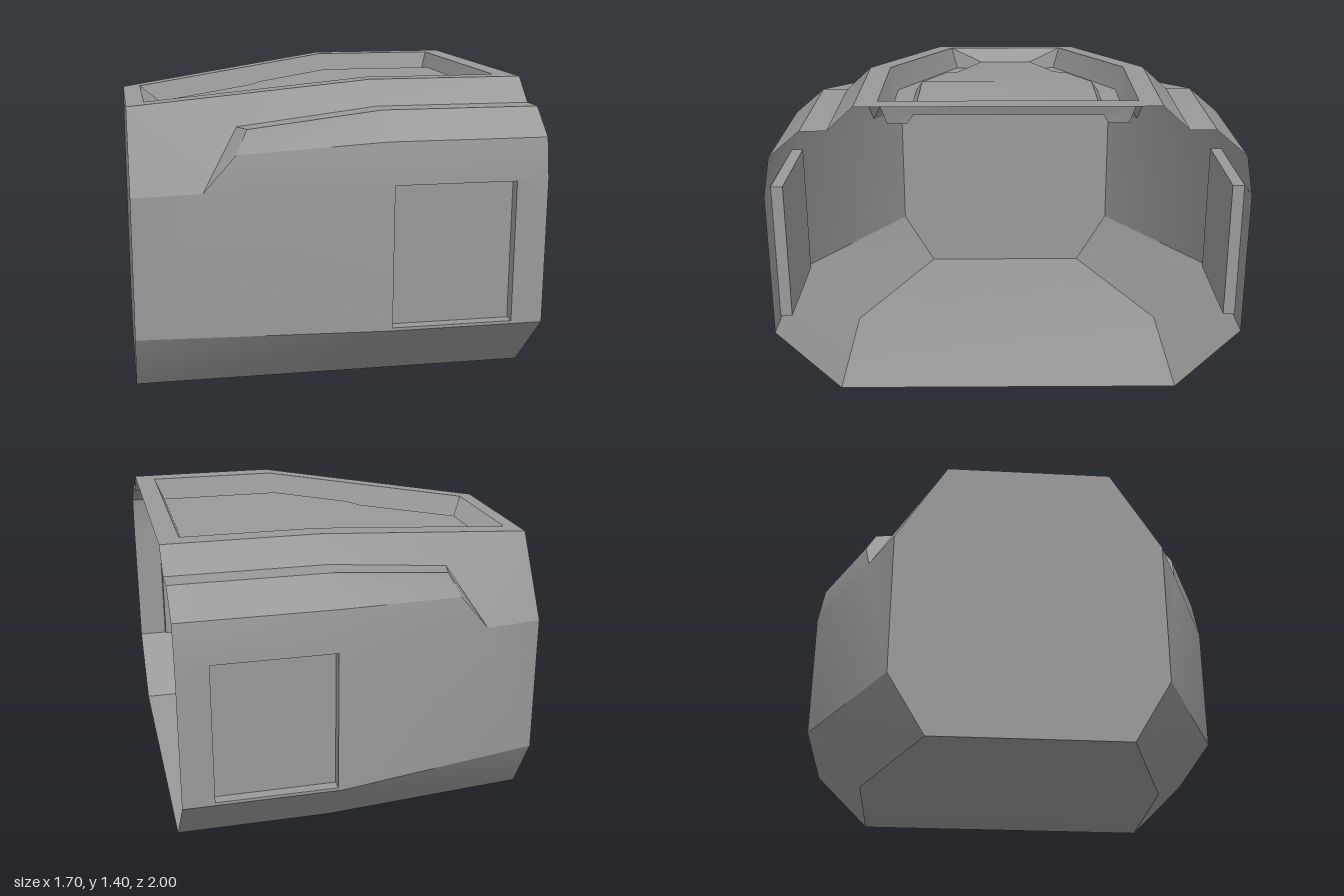
import * as THREE from 'three';
import { toCreasedNormals } from 'three/addons/utils/BufferGeometryUtils.js';

const material = new THREE.MeshStandardMaterial({ color: 0x9a9a9a, side: THREE.DoubleSide });
const mirror = (pts) => pts.map(([x, y, z]) => [x, y, -z]);

// Height of the roof at x; an offset gives the recessed levels that follow it
const roofY = (x, drop = 0) => 1.4 - Math.max(0, 0.18 - x) * 0.126 - drop;
const onRoof = (pts, drop = 0) => pts.map(([x, z]) => [x, roofY(x, drop), z]);

// Skin between two rails running towards +x, with b to the left of a
function strip(a, b) {
  const tris = [];
  for (let i = 0; i < a.length - 1; i++) {
    tris.push(a[i], a[i + 1], b[i + 1], a[i], b[i + 1], b[i]);
  }
  return tris;
}

// Convex polygon as a fan, counter-clockwise from outside
function poly(...pts) {
  const tris = [];
  for (let i = 1; i < pts.length - 1; i++) tris.push(pts[0], pts[i], pts[i + 1]);
  return tris;
}

// The same triangles on the other side, with the winding kept outward
function mirrored(tris) {
  const out = [];
  const m = mirror(tris);
  for (let i = 0; i < m.length; i += 3) out.push(m[i], m[i + 2], m[i + 1]);
  return out;
}

function mesh(name, tris) {
  const geo = new THREE.BufferGeometry();
  geo.setAttribute('position', new THREE.Float32BufferAttribute(tris.flat(), 3));
  const result = new THREE.Mesh(toCreasedNormals(geo, 0.45), material);
  result.name = name;
  return result;
}

const rect = (x0, x1, y0, y1, z) =>
  [[x0, y0, z], [x1, y0, z], [x1, y1, z], [x0, y1, z], [x0, y0, z]];

export function createModel() {
  const group = new THREE.Group();
  group.name = 'hullShell';

  // Long edges of the hull on the +z side, from the closed end to the open end
  const keel = [[-0.85, 0, 0.42], [0.18, 0.13, 0.73], [0.85, 0.13, 0.73]];
  const chine = [[-0.85, 0.27, 0.58], [0.18, 0.4, 1], [0.85, 0.4, 1]];
  const belt = [[-0.85, 0.91, 0.58], [0.18, 1.02, 1], [0.85, 1.02, 1]];
  const roofEdge = onRoof([[-0.85, 0.36], [0.18, 0.62], [0.85, 0.62]]);

  // Shelf cut into the upper chamfer, starting at a pointed tip
  const tip = [-0.55, 0.945, 0.702];
  const shoulder = [[-0.41, 1.11, 0.73], [0.18, 1.19, 0.97], [0.85, 1.19, 0.97]];
  const shelfOuter = [[-0.36, 1.21, 0.69], [0.18, 1.3, 0.84], [0.85, 1.3, 0.84]];
  const shelfInner = [[-0.39, 1.204, 0.575], [0.18, 1.3, 0.73], [0.85, 1.3, 0.73]];

  // Door recess in the flat part of the side
  const sideFrame = rect(0.18, 0.85, 0.4, 1.02, 1);
  const doorRim = rect(0.2, 0.715, 0.413, 1.016, 1);
  const doorBack = rect(0.2, 0.715, 0.413, 1.016, 0.95);

  const lowerSide = strip(keel, chine);
  const side = [
    ...poly(chine[0], chine[1], belt[1], tip, belt[0]),
    ...strip(sideFrame, doorRim),
    ...poly(tip, belt[1], shoulder[1], shoulder[0]),
    ...strip(belt.slice(1), shoulder.slice(1)),
  ];
  const upperSide = [
    ...strip(shoulder, shelfOuter),
    ...strip(shelfOuter, shelfInner),
    ...poly(tip, shoulder[0], shelfOuter[0], shelfInner[0]),
    ...poly(roofEdge[0], belt[0], tip, shelfInner[0], roofEdge[1]),
    ...strip(shelfInner.slice(1), roofEdge.slice(1)),
    ...poly(shelfInner[0], shelfInner[1], roofEdge[1]),
  ];
  const doorRecess = [...strip(doorRim, doorBack), ...poly(...doorBack.slice(0, 4))];

  const halves = { lowerSide, side, upperSide, doorRecess };
  for (const [name, tris] of Object.entries(halves)) {
    group.add(mesh(name + 'Front', tris), mesh(name + 'Back', mirrored(tris)));
  }

  // Belly and closed end wall
  group.add(mesh('belly', strip(mirror(keel), keel)));
  const endHalf = [keel[0], chine[0], belt[0], roofEdge[0]];
  group.add(mesh('endWall', poly(...endHalf, ...mirror(endHalf).reverse())));

  // Roof frame around the recess
  const rim = onRoof([[-0.77, 0.29], [0.18, 0.53], [0.76, 0.53]]);
  const frame = strip(roofEdge, rim);
  const ends = (a, b) => [
    ...strip([mirror(a)[0], a[0]], [mirror(b)[0], b[0]]),
    ...strip([a[2], mirror(a)[2]], [b[2], mirror(b)[2]]),
  ];
  group.add(mesh('roofFrame', [...frame, ...mirrored(frame), ...ends(roofEdge, rim)]));

  // Recess: sloping walls, a gutter along each side and a raised deck between
  const gutterDrop = 0.105, deckDrop = 0.067;
  const gutterOuter = onRoof(
    [[-0.735, 0.26], [-0.22, 0.394], [-0.18, 0.405], [0.18, 0.498], [0.73, 0.498]], gutterDrop);
  const stepFoot = onRoof(
    [[-0.68, 0.15], [-0.22, 0.258], [-0.175, 0.32], [0.18, 0.415], [0.73, 0.415]], gutterDrop);
  const stepTop = onRoof(
    [[-0.68, 0.13], [-0.22, 0.235], [-0.175, 0.295], [0.18, 0.388], [0.73, 0.388]], deckDrop);

  const wall = [
    ...strip(rim, [gutterOuter[0], gutterOuter[3], gutterOuter[4]]),
    ...poly(rim[0], gutterOuter[0], stepFoot[0], stepTop[0]),
    ...poly(rim[2], stepTop[4], stepFoot[4], gutterOuter[4]),
  ];
  const gutter = strip(gutterOuter, stepFoot);
  const step = strip(stepFoot, stepTop);
  const deckEnds = [stepTop[0], stepTop[3], stepTop[4]];
  group.add(mesh('recessWalls', [...wall, ...mirrored(wall), ...ends(rim, deckEnds)]));
  group.add(mesh('gutters', [...gutter, ...mirrored(gutter)]));
  group.add(mesh('deckSteps', [...step, ...mirrored(step)]));
  group.add(mesh('deck', strip(stepTop, mirror(stepTop))));

  return group;
}
